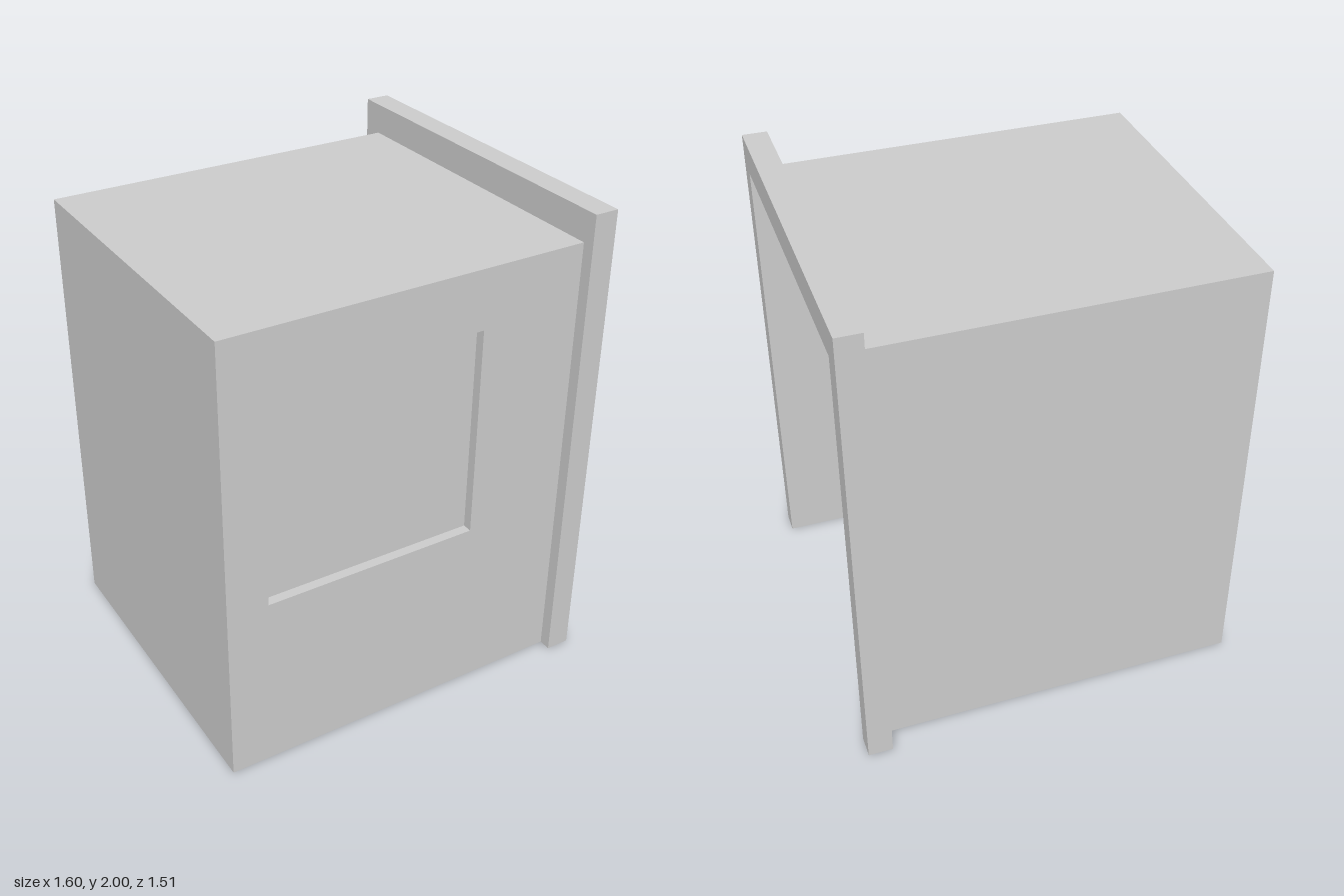
import * as THREE from 'three';

const grey = new THREE.MeshStandardMaterial({ color: 0xcccccc, side: THREE.DoubleSide, flatShading: true });

// Room shell limits: x from X0 to X1, z from -Z to Z, ceiling at H
const X0 = -0.8, X1 = 0.7, Z = 0.665, H = 1.875;
const CX = (X0 + X1) / 2, LEN = X1 - X0;

function rect(path, x0, y0, x1, y1) {
  path.moveTo(x0, y0);
  path.lineTo(x1, y0);
  path.lineTo(x1, y1);
  path.lineTo(x0, y1);
  path.closePath();
  return path;
}

export function createModel() {
  const root = new THREE.Group();
  root.name = 'openCabin';

  const add = (name, geometry, x = 0, y = 0, z = 0) => {
    const mesh = new THREE.Mesh(geometry, grey);
    mesh.name = name;
    mesh.position.set(x, y, z);
    root.add(mesh);
    return mesh;
  };

  // Thin shell, open at the floor and at the doorway
  add('innerFrontWall', new THREE.PlaneGeometry(LEN, H), CX, H / 2, Z);
  add('backWall', new THREE.PlaneGeometry(LEN, H), CX, H / 2, -Z).rotation.y = Math.PI;
  add('endWall', new THREE.PlaneGeometry(2 * Z, H), X0, H / 2, 0).rotation.y = -Math.PI / 2;
  add('ceiling', new THREE.PlaneGeometry(LEN, 2 * Z), CX, H, 0).rotation.x = -Math.PI / 2;

  // Thick outer front panel with a window recess
  const panel = rect(new THREE.Shape(), X0, 0, X1, H);
  panel.holes.push(rect(new THREE.Path(), -0.63, 0.75, 0.27, 1.63));
  add('frontPanel', new THREE.ExtrudeGeometry(panel, { depth: 0.04, bevelEnabled: false }), 0, 0, Z);

  // Door frame: an upside-down U, drawn in the z-y plane and extruded along x
  const frame = new THREE.Shape();
  const outline = [[-0.755, 0], [-Z, 0], [-Z, H], [Z, H], [Z, 0], [0.755, 0], [0.755, 2], [-0.755, 2]];
  frame.setFromPoints(outline.map(([a, b]) => new THREE.Vector2(a, b)));
  add('doorFrame', new THREE.ExtrudeGeometry(frame, { depth: 0.1, bevelEnabled: false }), X1, 0, 0)
    .rotation.y = Math.PI / 2;

  // Two flat ceiling lights
  for (const side of [-1, 1]) {
    add('ceilingLight', new THREE.BoxGeometry(1.13, 0.01, 0.425), CX, H - 0.006, side * 0.323);
  }

  return root;
}
